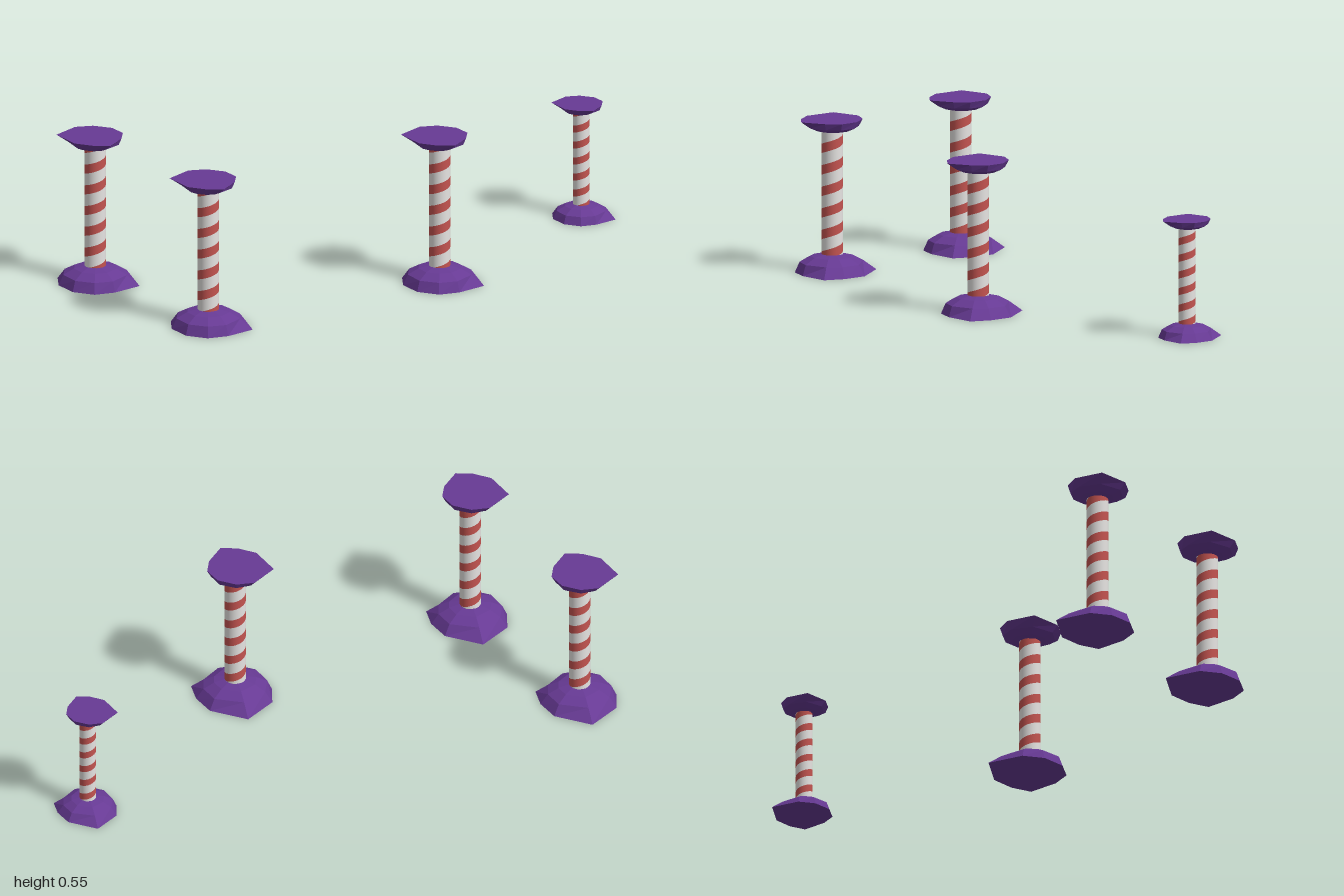
import * as THREE from 'three';

const purple = new THREE.MeshStandardMaterial({ color: 0x673a94 });
purple.name = 'purple plush';
const white = new THREE.MeshStandardMaterial({ color: 0xe6e4e2 });
white.name = 'white rope';
const red = new THREE.MeshStandardMaterial({ color: 0xc45450 });
red.name = 'red stripe';

// Uneven outline (x, z) shared by the foot and the upturned platform
const OUTLINE = [
  [-0.138, -0.095], [-0.138, 0.04], [-0.085, 0.102], [0, 0.13], [0.08, 0.106],
  [0.122, 0.042], [0.147, -0.068], [0.085, -0.115], [0, -0.141],
];

// Faceted low dome: irregular rim, two rounder rings and an apex
function domeGeometry() {
  const n = OUTLINE.length;
  const ring = (r, y) => OUTLINE.map(([x, z]) => {
    const k = r / Math.hypot(x, z);
    return [x * k, y, z * k];
  });
  const rings = [OUTLINE.map(([x, z]) => [x, 0, z]), ring(0.116, 0.038), ring(0.077, 0.059)];
  const pos = [];
  const tri = (...pts) => pts.forEach((p) => pos.push(...p));
  for (let i = 0; i < n; i++) {
    const j = (i + 1) % n;
    tri([0, 0, 0], rings[0][j], rings[0][i]);
    for (let k = 0; k < 2; k++) {
      const lo = rings[k], hi = rings[k + 1];
      tri(lo[i], lo[j], hi[j]);
      tri(lo[i], hi[j], hi[i]);
    }
    tri([0, 0.076, 0], rings[2][i], rings[2][j]);
  }
  const g = new THREE.BufferGeometry();
  g.setAttribute('position', new THREE.Float32BufferAttribute(pos, 3));
  g.computeVertexNormals();
  return g;
}

// Helical band around the pole, from offset v0 to v1 within one pitch
const RADIUS = 0.0385, PITCH = 0.0778, STRIPE = 0.034, SEGMENTS = 24;
function bandGeometry(v0, v1) {
  const pos = [], nor = [], idx = [];
  const first = -2 * SEGMENTS, last = 8 * SEGMENTS;
  for (let i = first; i <= last; i++) {
    const turn = i / SEGMENTS, a = turn * Math.PI * 2;
    for (const v of [v0, v1]) {
      const y = THREE.MathUtils.clamp(0.049 + turn * PITCH + v, 0.02, 0.53);
      pos.push(RADIUS * Math.sin(a), y, RADIUS * Math.cos(a));
      nor.push(Math.sin(a), 0, Math.cos(a));
    }
    if (i < last) {
      const b = (i - first) * 2;
      idx.push(b, b + 2, b + 3, b, b + 3, b + 1);
    }
  }
  const g = new THREE.BufferGeometry();
  g.setAttribute('position', new THREE.Float32BufferAttribute(pos, 3));
  g.setAttribute('normal', new THREE.Float32BufferAttribute(nor, 3));
  g.setIndex(idx);
  return g;
}

export function createModel() {
  const model = new THREE.Group();
  model.name = 'stripedPosts';
  const dome = domeGeometry();
  const stripe = bandGeometry(-STRIPE / 2, STRIPE / 2);
  const gap = bandGeometry(STRIPE / 2, PITCH - STRIPE / 2);

  const add = (parent, geometry, material, name) => {
    const mesh = new THREE.Mesh(geometry, material);
    mesh.name = name;
    parent.add(mesh);
    return mesh;
  };

  // Three full-size posts and one smaller one: x, z, scale
  const posts = [
    [-0.487, 0.732, 1], [0.123, 0.862, 1], [0.478, -0.02, 1], [0.435, -0.895, 0.773],
  ];
  posts.forEach(([x, z, s], i) => {
    const post = new THREE.Group();
    post.name = `post${i + 1}`;
    add(post, dome, purple, 'foot');
    add(post, gap, white, 'pole');
    add(post, stripe, red, 'poleStripe');
    // Platform: the same dome turned upside down and shrunk
    const platform = add(post, dome, purple, 'platform');
    platform.rotation.x = Math.PI;
    platform.scale.set(0.8, 0.66, 0.8);
    platform.position.set(-0.005, 0.552, 0);
    post.position.set(x, 0, z);
    post.scale.setScalar(s);
    model.add(post);
  });
  return model;
}
